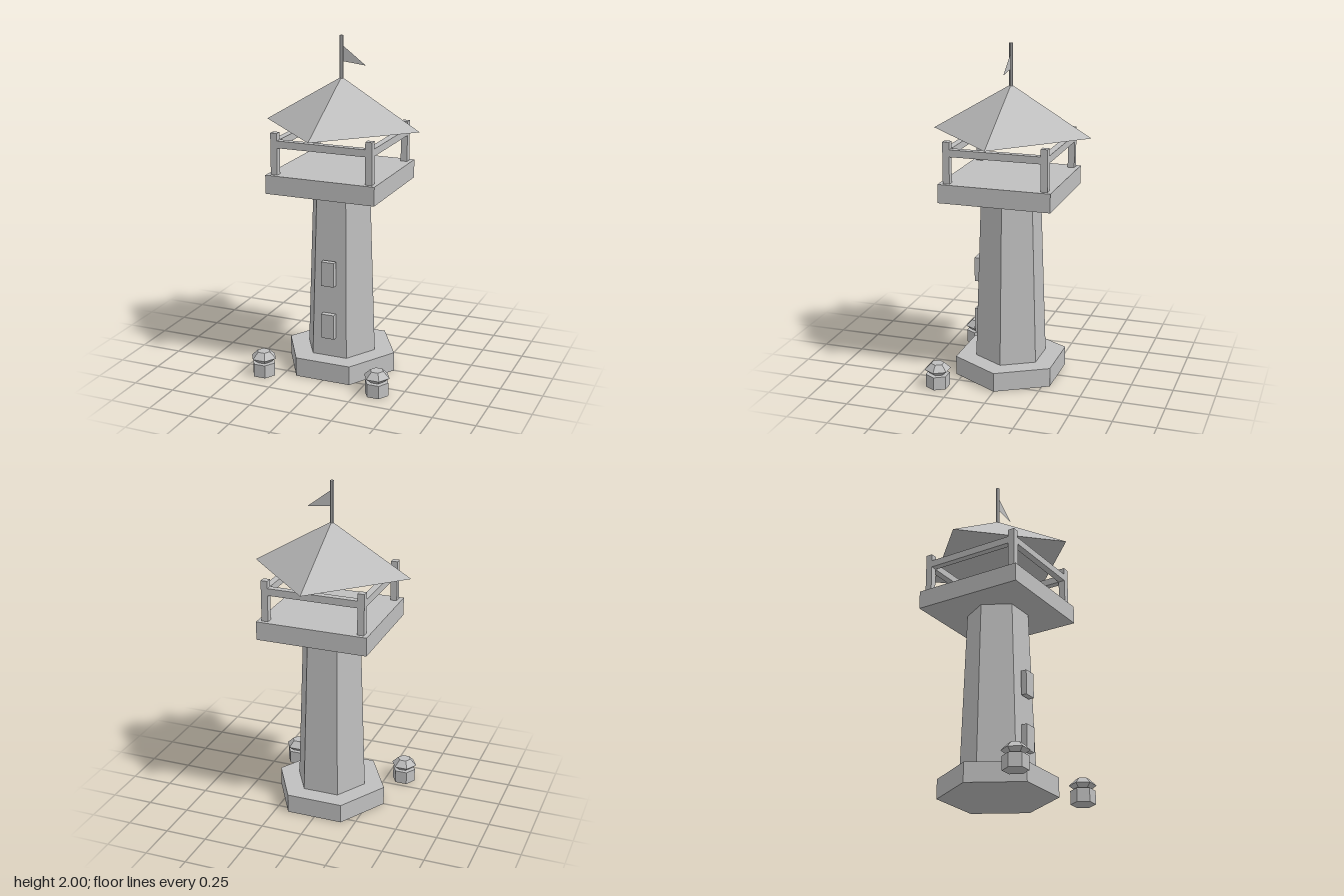
import * as THREE from 'three';

export function createModel() {
  const model = new THREE.Group();
  model.name = 'watchtower';

  const stone = new THREE.MeshStandardMaterial({ color: 0xbfbfbf, flatShading: true });
  stone.name = 'pale grey';
  const cloth = stone.clone();
  cloth.name = 'pale grey cloth';
  cloth.side = THREE.DoubleSide;

  function add(parent, name, geometry, x = 0, y = 0, z = 0, material = stone) {
    const mesh = new THREE.Mesh(geometry, material);
    mesh.name = name;
    mesh.position.set(x, y, z);
    parent.add(mesh);
    return mesh;
  }

  // Box from y0 to y1
  function box(parent, name, w, y0, y1, d, x = 0, z = 0) {
    return add(parent, name, new THREE.BoxGeometry(w, y1 - y0, d), x, (y0 + y1) / 2, z);
  }

  // Hexagonal frustum from y0 to y1, with corners on the x axis
  function hex(parent, name, bottomR, topR, y0, y1) {
    const geometry = new THREE.CylinderGeometry(topR, bottomR, y1 - y0, 6, 1, false, Math.PI / 6);
    return add(parent, name, geometry, 0, (y0 + y1) / 2, 0);
  }

  // Plinth and tapering shaft
  hex(model, 'plinth', 0.34, 0.34, 0, 0.115);
  hex(model, 'shaft', 0.216, 0.18, 0.115, 1.12);

  // Window blocks on the front
  box(model, 'lowerWindow', 0.08, 0.235, 0.385, 0.034, 0, 0.2);
  box(model, 'upperWindow', 0.08, 0.562, 0.71, 0.034, 0, 0.2);

  // Lookout platform with corner posts and rails
  box(model, 'platform', 0.664, 1.12, 1.23, 0.664);
  const railing = new THREE.Group();
  railing.name = 'railing';
  model.add(railing);
  const edge = 0.288;
  for (const s of [-1, 1]) {
    for (const t of [-1, 1]) box(railing, 'post', 0.04, 1.23, 1.473, 0.04, s * edge, t * edge);
    box(railing, 'rail', 0.536, 1.388, 1.43, 0.04, 0, s * edge);
    box(railing, 'rail', 0.04, 1.388, 1.43, 0.536, s * edge, 0);
  }

  // Pyramid roof, corners on the axes
  add(model, 'roof', new THREE.ConeGeometry(0.476, 0.283, 4), 0, 1.6215, 0);

  // Flagpole and pennant
  add(model, 'flagpole', new THREE.CylinderGeometry(0.012, 0.012, 0.245, 8), 0, 1.8775, 0);
  const pennant = new THREE.Shape([
    new THREE.Vector2(0.01, 1.852),
    new THREE.Vector2(0.148, 1.836),
    new THREE.Vector2(0.01, 1.94),
  ]);
  add(model, 'pennant', new THREE.ShapeGeometry(pennant), 0, 0, 0, cloth);

  // Capped bollards in front
  for (const s of [-1, 1]) {
    const bollard = new THREE.Group();
    bollard.name = s > 0 ? 'leftBollard' : 'rightBollard';
    bollard.position.set(s * 0.36, 0, 0.34);
    hex(bollard, 'bollardPost', 0.0715, 0.0715, 0, 0.08);
    hex(bollard, 'capUnderside', 0.04, 0.0785, 0.08, 0.11);
    hex(bollard, 'capTop', 0.0785, 0.04, 0.11, 0.147);
    model.add(bollard);
  }

  return model;
}
